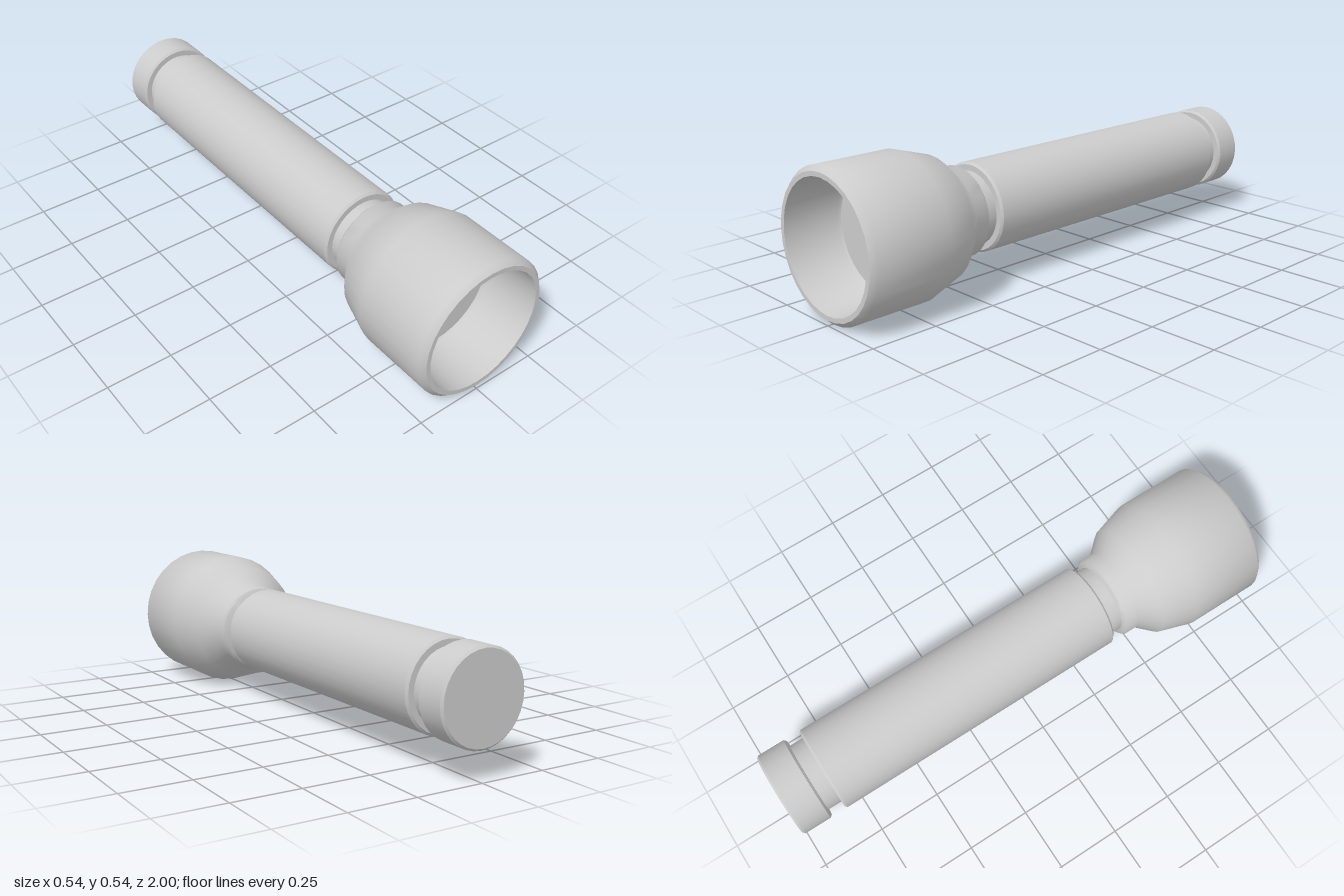
import * as THREE from 'three';
import { toCreasedNormals } from 'three/addons/utils/BufferGeometryUtils.js';

const SIDES = 32;

export function createModel() {
  const torch = new THREE.Group();
  torch.name = 'flashlight';
  const material = new THREE.MeshStandardMaterial({ color: 0xcccccc });

  // Turns a profile of [radius, z] points, listed back to front, about the long axis
  const turned = (name, profile, crease = 0.5) => {
    const points = profile.map(([r, z]) => new THREE.Vector2(r, z));
    const geometry = new THREE.LatheGeometry(points, SIDES).rotateX(Math.PI / 2);
    const mesh = new THREE.Mesh(toCreasedNormals(geometry, crease), material);
    mesh.name = name;
    mesh.position.y = 0.27;
    torch.add(mesh);
  };

  // Solid barrel section with chamfered ends
  const barrel = (name, r, back, front, bevel = 0.008) => turned(name, [
    [0, back], [r - bevel, back], [r, back + bevel],
    [r, front - bevel], [r - bevel, front], [0, front],
  ]);

  barrel('tailCap', 0.167, -1, -0.878);
  barrel('handle', 0.167, -0.823, 0.376);

  // Narrow grooves joining the sections
  turned('rearGroove', [[0.137, -0.88], [0.137, -0.82]]);
  turned('frontGroove', [[0.137, 0.37], [0.137, 0.435]]);

  // Flared head: collar, bell, rounded rim and tapering recess
  turned('head', [
    [0, 0.43], [0.159, 0.43], [0.167, 0.438], [0.167, 0.49],
    [0.23, 0.56], [0.27, 0.69], [0.27, 0.98], [0.252, 1],
    [0.235, 1], [0.215, 0.8], [0.208, 0.79],
  ], 0.82);

  // Flat lens at the bottom of the recess
  const lens = new THREE.Mesh(new THREE.CircleGeometry(0.209, SIDES), material);
  lens.name = 'lens';
  lens.position.set(0, 0.27, 0.79);
  torch.add(lens);

  return torch;
}
